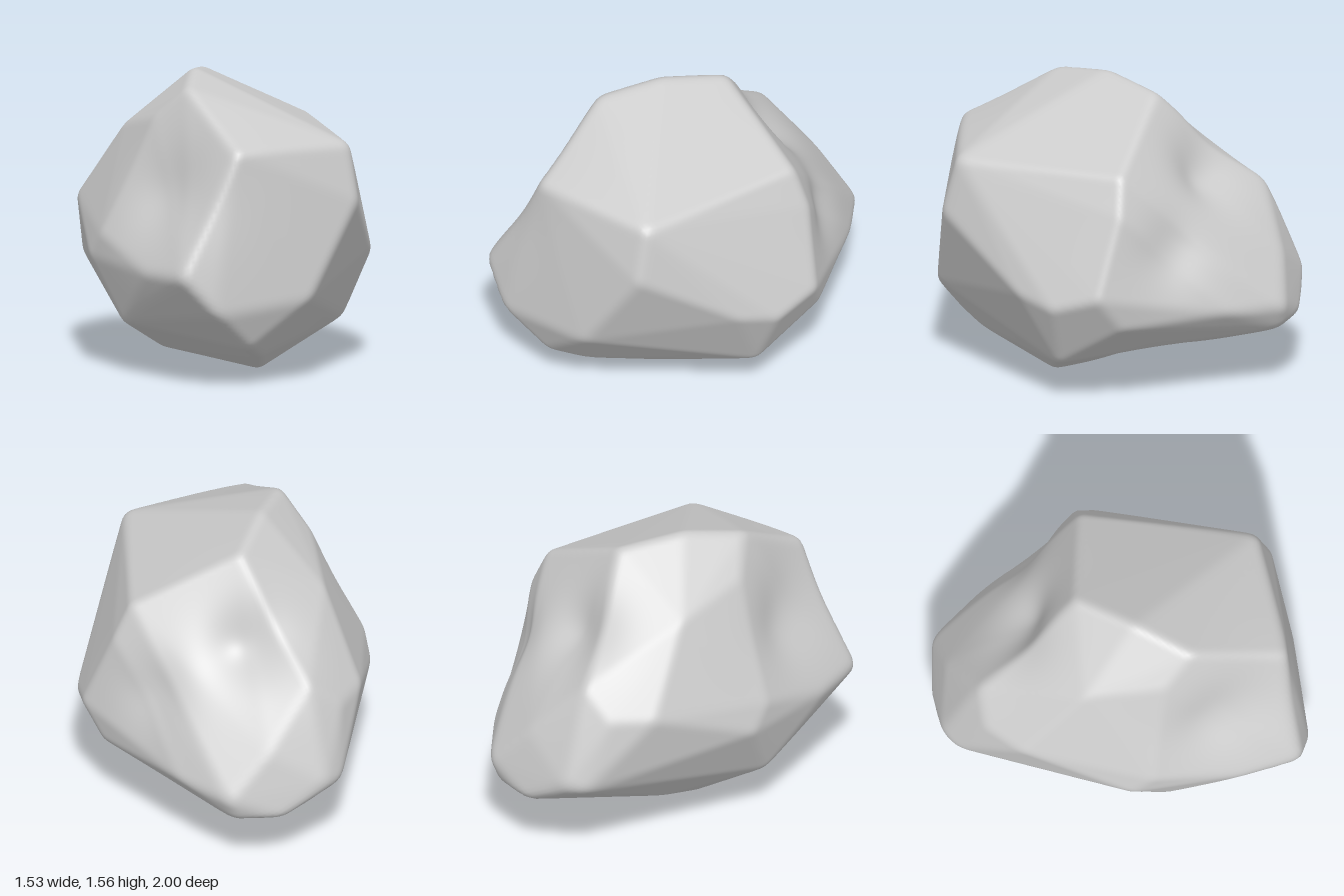
import * as THREE from 'three';
import { ConvexGeometry } from 'three/addons/geometries/ConvexGeometry.js';
import { mergeVertices } from 'three/addons/utils/BufferGeometryUtils.js';

// corners of the main rock facets, grouped from top to bottom
const crown = [
  [-0.08, 1.52, -0.25], [-0.2, 1.565, 0.08], [-0.31, 1.51, 0.4], [-0.46, 1.34, 0.27], [-0.52, 1.24, -0.15],
  [-0.16, 1.24, 0.89], [0.5, 1.22, 0.64], [0.5, 1.24, -0.29],
];
const waist = [
  [0.53, 0.93, 0.71], [0.59, 1.05, -0.32], [0.75, 0.63, -0.26], [0.77, 0.55, -0.01], [0.72, 0.6, 0.2],
  [-0.43, 1.0, -0.72], [-0.2, 0.69, -0.91], [-0.59, 0.84, -0.66], [-0.7, 0.83, -0.45],
  [-0.74, 0.73, 0.24], [-0.77, 0.6, 0.13], [-0.61, 0.58, 0.71],
  [-0.49, 0.59, 1.0], [-0.3, 0.39, 1.01], [0.24, 0.44, 0.86],
];
const base = [
  [-0.09, 0.19, 0.87], [0, 0.12, 0.7], [0.11, -0.015, 0.25], [0.61, 0.21, 0.02], [0.64, 0.45, -0.35],
  [0.26, 0.48, -0.81], [0.01, 0.46, -1.01], [-0.03, 0.33, -0.97], [-0.27, 0.34, -0.98],
  [-0.51, 0.5, -0.9], [-0.58, 0.47, -0.82], [-0.42, 0.17, -0.2], [-0.36, 0.09, 0.05], [-0.63, 0.27, 0.3],
];
const CENTRE = new THREE.Vector3(0, 0.7, 0);

// shallow hollows worn into the larger facets: direction from the centre, depth, spread
const hollows = [
  [[-0.45, 0.3, 0.6], 0.085, 0.06], // upper front
  [[-0.1, 0.4, -0.5], 0.1, 0.05], // upper back
  [[0.4, 0.13, -0.55], 0.05, 0.04], // back side
  [[0.1, -0.55, -0.25], 0.035, 0.07], // underside
].map(([d, depth, spread]) => ({ dir: new THREE.Vector3(...d).normalize(), depth, spread }));

// one plane per facet of the hull around the corners
function facetPlanes() {
  const points = [...crown, ...waist, ...base].map((p) => new THREE.Vector3(...p).sub(CENTRE));
  const p = new ConvexGeometry(points).getAttribute('position');
  const planes = [];
  for (let i = 0; i < p.count; i += 3) {
    const [a, b, c] = [0, 1, 2].map((k) => new THREE.Vector3().fromBufferAttribute(p, i + k));
    const normal = b.clone().sub(a).cross(c.sub(a)).normalize();
    planes.push({ normal, distance: normal.dot(a) });
  }
  return planes;
}

// distance from the centre to the nearest facet along a direction
function reach(planes, dir) {
  let r = Infinity;
  for (const { normal, distance } of planes) {
    const d = normal.dot(dir);
    if (d > 1e-6) r = Math.min(r, distance / d);
  }
  return r;
}

function rockGeometry() {
  const planes = facetPlanes();
  let geometry = new THREE.IcosahedronGeometry(1, 52);
  geometry.deleteAttribute('normal');
  geometry.deleteAttribute('uv');
  geometry = mergeVertices(geometry, 1e-5);
  const pos = geometry.getAttribute('position');
  const dir = new THREE.Vector3(), side = new THREE.Vector3(), up = new THREE.Vector3(), probe = new THREE.Vector3();
  for (let i = 0; i < pos.count; i++) {
    dir.fromBufferAttribute(pos, i).normalize();
    side.set(-dir.y, dir.x, 0.3).cross(dir).normalize();
    up.crossVectors(dir, side);
    // averaging over a small ring of directions rounds the worn edges
    let r = 2 * reach(planes, dir);
    for (let k = 0; k < 8; k++) {
      const a = (k * Math.PI) / 4;
      probe.copy(dir).addScaledVector(side, 0.035 * Math.cos(a)).addScaledVector(up, 0.035 * Math.sin(a)).normalize();
      r += reach(planes, probe);
    }
    r /= 10;
    for (const h of hollows) r -= h.depth * Math.exp((h.dir.dot(dir) - 1) / h.spread);
    dir.multiplyScalar(r);
    pos.setXYZ(i, dir.x, dir.y, dir.z);
  }
  // settle on the ground
  geometry.center();
  geometry.computeBoundingBox();
  geometry.translate(0, -geometry.boundingBox.min.y, 0);
  geometry.computeVertexNormals();
  return geometry;
}

export function createModel() {
  const group = new THREE.Group();
  group.name = 'boulder';
  const rock = new THREE.Mesh(rockGeometry(), new THREE.MeshStandardMaterial({ color: 0xcccccc }));
  rock.name = 'rock';
  group.add(rock);
  return group;
}
